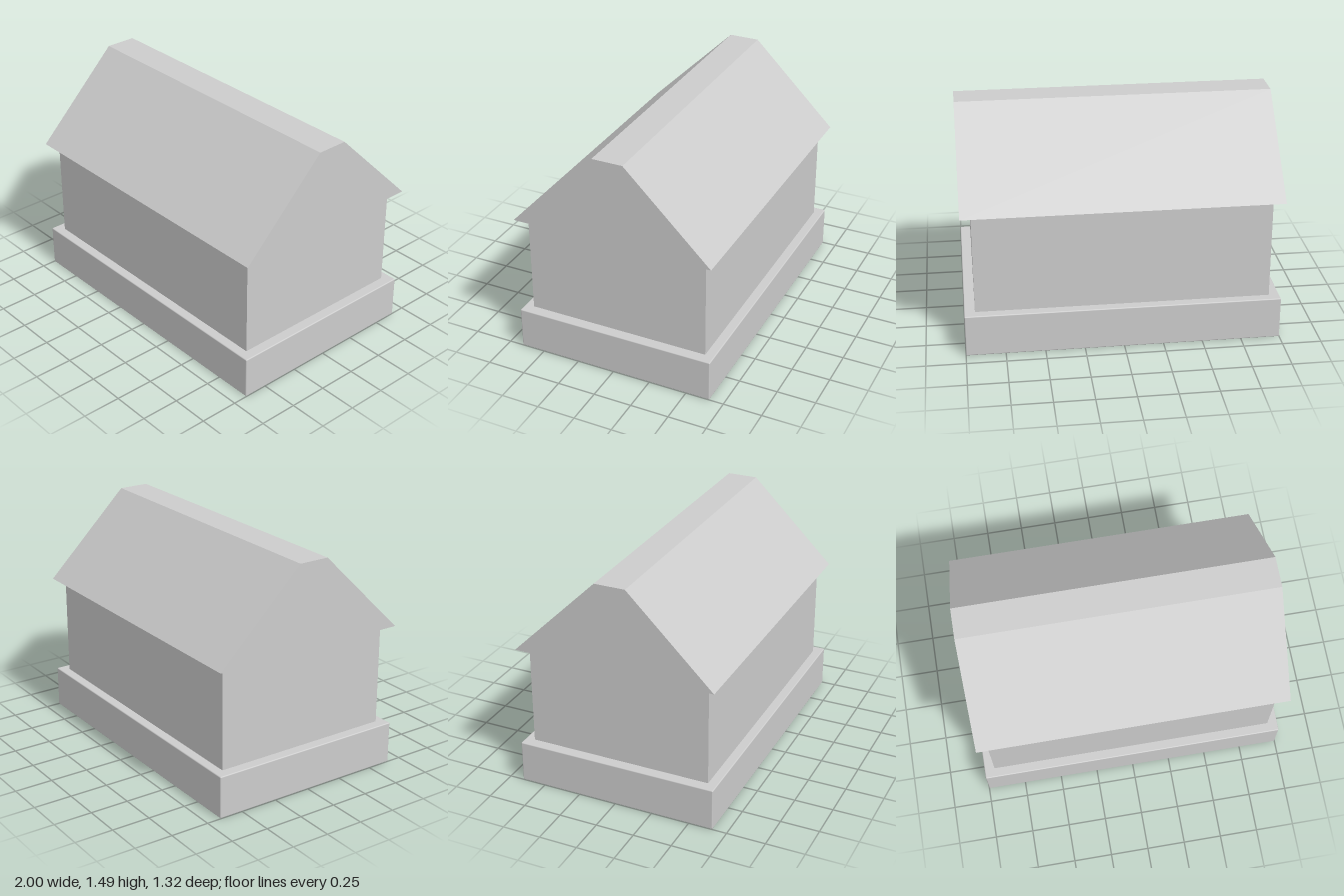
import * as THREE from 'three';
import { RoundedBoxGeometry } from 'three/addons/geometries/RoundedBoxGeometry.js';

export function createModel() {
  const house = new THREE.Group();
  house.name = 'house';
  const grey = new THREE.MeshStandardMaterial({ color: 0xcccccc });
  grey.name = 'plain grey';

  const add = (name, geometry, y) => {
    const mesh = new THREE.Mesh(geometry, grey);
    mesh.name = name;
    mesh.position.y = y;
    house.add(mesh);
  };

  const baseTop = 0.275, eaves = 0.935, ridge = 1.485;

  // Plinth with finely softened edges
  add('base', new RoundedBoxGeometry(2, baseTop, 1.315, 2, 0.007), baseTop / 2);

  // Main block, sunk slightly into the plinth
  const wallHeight = eaves - baseTop + 0.01;
  add('walls', new THREE.BoxGeometry(1.865, wallHeight, 1.194), eaves - wallHeight / 2);

  // Overhanging gable roof with a flat ridge, extruded along x
  const profile = new THREE.Shape([
    new THREE.Vector2(-0.658, 0),
    new THREE.Vector2(0.658, 0),
    new THREE.Vector2(0.1, ridge - eaves),
    new THREE.Vector2(-0.1, ridge - eaves),
  ]);
  const roof = new THREE.ExtrudeGeometry(profile, { depth: 2, bevelEnabled: false });
  roof.translate(0, 0, -1).rotateY(Math.PI / 2);
  add('roof', roof, eaves);

  return house;
}
